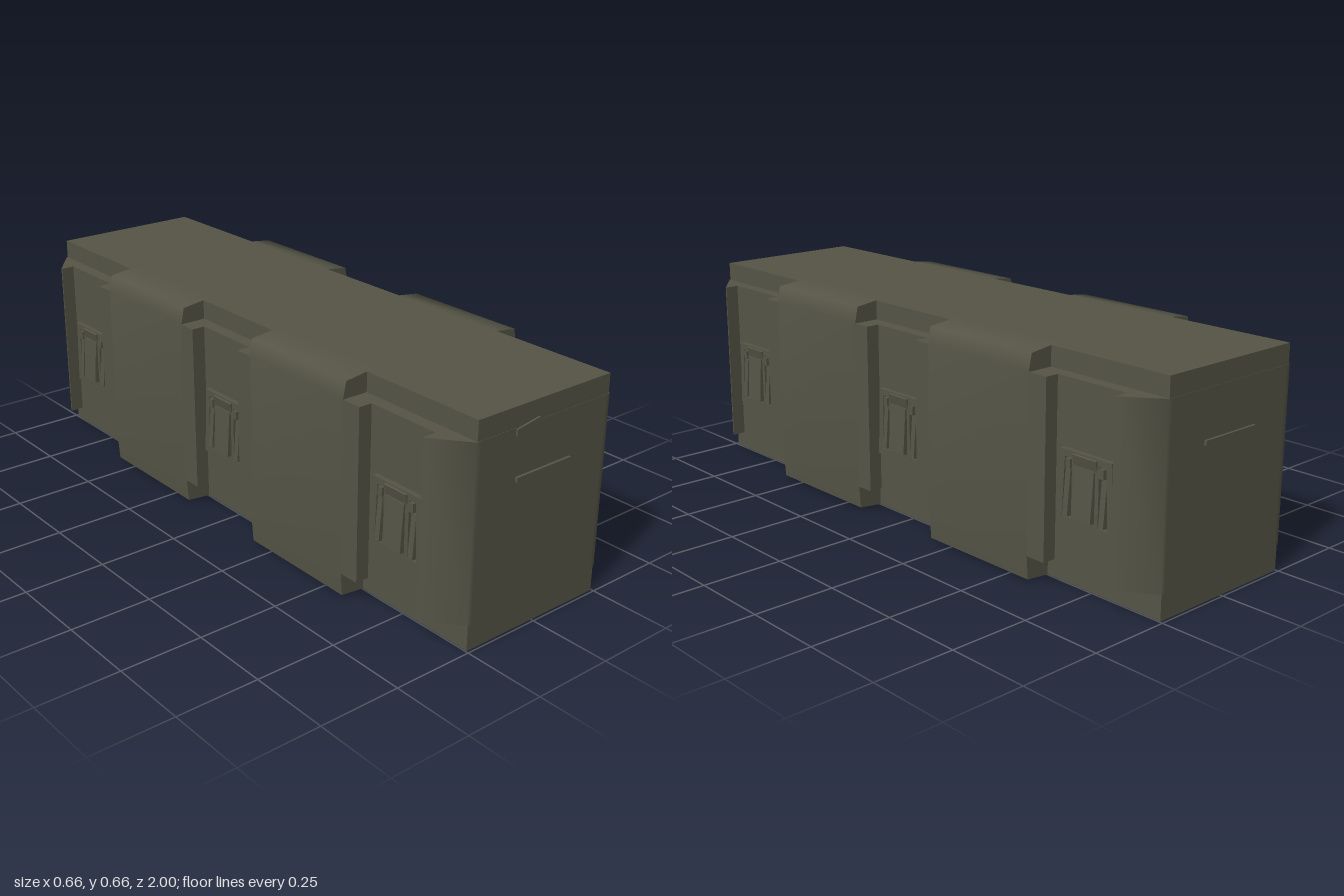
import * as THREE from 'three';
import { toCreasedNormals } from 'three/addons/utils/BufferGeometryUtils.js';

const oliveDrab = new THREE.MeshStandardMaterial({ color: 0x555446 });
oliveDrab.name = 'oliveDrab';

function part(parent, name, geometry) {
  const mesh = new THREE.Mesh(geometry, oliveDrab);
  mesh.name = name;
  parent.add(mesh);
  return mesh;
}

// Box given by its min and max on each axis
function box(parent, name, [x0, x1], [y0, y1], [z0, z1]) {
  const mesh = part(parent, name, new THREE.BoxGeometry(x1 - x0, y1 - y0, z1 - z0));
  mesh.position.set((x0 + x1) / 2, (y0 + y1) / 2, (z0 + z1) / 2);
  return mesh;
}

const shapeOf = (pts) => new THREE.Shape(pts.map(([x, y]) => new THREE.Vector2(x, y)));
const extrude = (shape, depth) => new THREE.ExtrudeGeometry(shape, { depth, bevelEnabled: false });

// Side latch: slotted backing plate, tilted lever and two spring bars, facing +x
function createLatch() {
  const latch = new THREE.Group();
  latch.name = 'latch';
  const plate = shapeOf([[-0.102, -0.105], [0.102, -0.105], [0.092, 0.105], [-0.092, 0.105]]);
  for (const s of [-1, 1]) {
    plate.holes.push(new THREE.Path([
      [s * 0.048, -0.085], [s * 0.082, -0.085], [s * 0.074, 0.085], [s * 0.048, 0.085],
    ].map(([x, y]) => new THREE.Vector2(x, y))));
  }
  part(latch, 'latchPlate', extrude(plate, 0.016).rotateY(Math.PI / 2));

  const lever = box(latch, 'latchLever', [0.008, 0.026], [-0.075, 0.068], [-0.035, 0.035]);
  lever.rotation.z = 0.07;
  const hook = box(latch, 'latchHook', [0.01, 0.02], [0.07, 0.1], [-0.042, 0.042]);
  hook.rotation.z = -0.2;
  for (const s of [-1, 1]) {
    const bar = box(latch, 'springBar', [0, 0.018], [-0.08, 0.05], [s * 0.065 - 0.009, s * 0.065 + 0.009]);
    bar.rotation.z = 0.08;
    box(latch, 'latchPin', [0, 0.02], [0.055, 0.082], [s * 0.06 - 0.008, s * 0.06 + 0.008]);
  }
  return latch;
}

// One long side, facing +x
function createSide() {
  const side = new THREE.Group();
  side.name = 'side';
  box(side, 'recessWall', [0.2, 0.287], [0.078, 0.602], [-0.9, 0.9]);

  // Full-height panel with rolled top and bottom edges
  const profile = shapeOf([
    [0.2, 0], [0.25, 0], [0.325, 0.007], [0.33, 0.078],
    [0.33, 0.602], [0.32, 0.652], [0.25, 0.661], [0.2, 0.661],
  ]);
  for (const s of [-1, 1]) {
    const panel = part(side, 'sidePanel', toCreasedNormals(extrude(profile, 0.41), 1.3));
    panel.position.z = s * 0.375 - 0.205;
    for (const z of [0.145, 0.6125]) {
      box(side, 'panelPost', [0.25, 0.33], [0.078, 0.602], [s * z - 0.0325, s * z + 0.0325]);
    }
  }

  for (const z of [-0.765, 0, 0.765]) {
    const latch = createLatch();
    latch.position.set(0.286, 0.305, z);
    side.add(latch);
  }
  return side;
}

// End with softened vertical corners and a grip bar, facing +z
function createEnd() {
  const end = new THREE.Group();
  end.name = 'end';
  const plan = shapeOf([
    [-0.33, -0.885], [-0.33, -0.89], [-0.25, -0.992], [-0.235, -0.992],
    [0.235, -0.992], [0.25, -0.992], [0.33, -0.89], [0.33, -0.885],
  ].reverse());
  const geometry = extrude(plan, 0.524).rotateX(-Math.PI / 2);
  const corners = part(end, 'endCap', toCreasedNormals(geometry, 1.1));
  corners.position.y = 0.078;
  box(end, 'gripBar', [-0.103, 0.103], [0.449, 0.463], [0.985, 1]);
  return end;
}

export function createModel() {
  const model = new THREE.Group();
  model.name = 'storageCase';

  box(model, 'core', [-0.247, 0.247], [0, 0.661], [-0.991, 0.991]);
  for (const turn of [0, Math.PI]) {
    const side = createSide();
    const end = createEnd();
    side.rotation.y = end.rotation.y = turn;
    model.add(side, end);
  }

  // Small slanted tab near the top of the front
  const tab = part(model, 'frontTab', extrude(shapeOf([
    [-0.11, 0.58], [-0.026, 0.58], [-0.026, 0.612], [-0.11, 0.599],
  ]), 0.006));
  tab.position.z = 0.991;

  return model;
}
